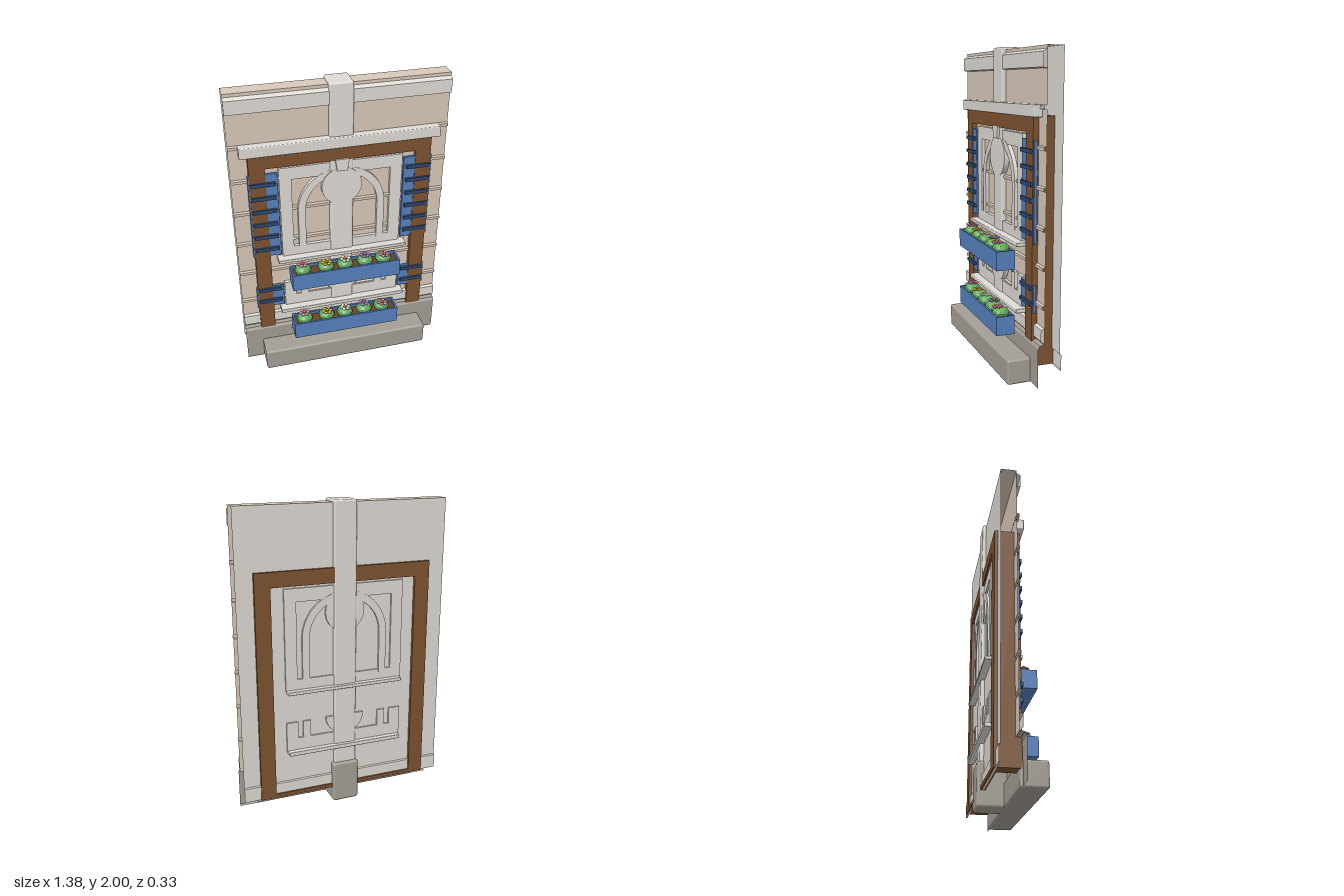
import * as THREE from 'three';
import { RoundedBoxGeometry } from 'three/addons/geometries/RoundedBoxGeometry.js';

const mat = (color, extra = {}) => new THREE.MeshStandardMaterial({ color, ...extra });
const M = {
  white: mat(0xdedad4), stone: mat(0xa39e95), wood: mat(0x7d5230),
  blue: mat(0x5580bd), slat: mat(0x2f4a73), soil: mat(0x6b4428),
  leaf: mat(0x5fa85a, { flatShading: true }), core: mat(0xc98a2c),
  siding: mat(0xd8c8b8, { side: THREE.DoubleSide }),
  sheet: mat(0xdedad4, { side: THREE.DoubleSide }),
  stoneSheet: mat(0xa39e95, { side: THREE.DoubleSide }),
};
const petalMats = [0xe58bb5, 0xe8c040, 0xf2efe8, 0x9a82dc, 0xe58bb5].map(c => mat(c));
const WALL = 0.69, FACE = -0.02;

export function createModel() {
  const root = new THREE.Group();

  const add = (name, geometry, material, parent = root) => {
    const mesh = new THREE.Mesh(geometry, material);
    mesh.name = name;
    parent.add(mesh);
    return mesh;
  };
  // Box given by its limits; a bevel rounds its edges
  const box = (name, material, [x0, x1], [y0, y1], [z0, z1], bevel = 0, parent = root) => {
    const s = [x1 - x0, y1 - y0, z1 - z0];
    const g = bevel ? new RoundedBoxGeometry(...s, 2, bevel) : new THREE.BoxGeometry(...s);
    g.translate((x0 + x1) / 2, (y0 + y1) / 2, (z0 + z1) / 2);
    return add(name, g, material, parent);
  };
  // Open-ended sheet: a (z, y) profile swept along x
  const sweep = (name, material, profile) => {
    const pos = [], idx = [];
    for (let i = 0; i < profile.length - 1; i++) {
      const [za, ya] = profile[i], [zb, yb] = profile[i + 1], n = i * 4;
      pos.push(-WALL, ya, za, -WALL, yb, zb, WALL, yb, zb, WALL, ya, za);
      idx.push(n, n + 1, n + 2, n, n + 2, n + 3);
    }
    const g = new THREE.BufferGeometry();
    g.setAttribute('position', new THREE.Float32BufferAttribute(pos, 3));
    g.setIndex(idx);
    g.computeVertexNormals();
    return add(name, g, material);
  };
  const extrude = (name, shape, material, z0, z1, parent = root) => {
    const g = new THREE.ExtrudeGeometry(shape, { depth: z1 - z0, bevelEnabled: false, curveSegments: 24 });
    return add(name, g.translate(0, 0, z0), material, parent);
  };

  // Wall siding with a small ledge at each board joint
  const front = [[-0.12, 1.985], [FACE, 1.985]];
  for (let i = 0; i < 7; i++) {
    const y = 1.655 - i * 0.23;
    if (y < 0.3) break;
    front.push([FACE, y + 0.005], [-0.004, y], [-0.004, y - 0.018], [FACE, y - 0.02]);
  }
  front.push([FACE, 0.27]);
  sweep('wallSiding', M.siding, front);
  sweep('wallBack', M.sheet, [[-0.12, 0.1], [-0.13, 0.1], [-0.13, 0.195], [-0.12, 0.2], [-0.12, 1.985]]);
  sweep('upperBand', M.sheet, [[FACE, 1.965], [0.004, 1.95], [0.004, 1.865], [FACE, 1.86]]);
  sweep('lowerBand', M.sheet, [[FACE, 0.37], [0.002, 0.365], [0.002, 0.295], [FACE, 0.27]]);
  sweep('baseFacing', M.stoneSheet, [[FACE, 0.275], [0.008, 0.268], [0.02, 0.25], [0.02, 0.01], [0.012, 0]]);

  // Stone step and column foot
  box('step', M.stone, [-0.575, 0.575], [0, 0.155], [0, 0.165], 0.015);
  box('columnFoot', M.stone, [-0.09, 0.09], [0, 0.28], [-0.163, 0.035], 0.018);

  // Central column, lintel, keystone
  box('column', M.white, [-0.075, 0.075], [0.02, 2], [-0.143, 0.011], 0.012);
  box('lintel', M.white, [-0.63, 0.63], [1.59, 1.66], [-0.02, 0.035], 0.006);
  const key = new THREE.Shape([[-0.033, 1.43], [0.033, 1.43], [0.045, 1.51], [-0.045, 1.51]].map(p => new THREE.Vector2(...p)));
  extrude('keystone', key, M.white, 0, 0.027);

  // Timber frame
  const timber = [-0.14, 0.015];
  box('frameTop', M.wood, [-0.58, 0.58], [1.5, 1.595], timber);
  box('frameBottom', M.wood, [-0.48, 0.48], [0.1, 0.125], [-0.14, -0.11]);
  for (const s of [-1, 1]) {
    const span = (a, b) => (s > 0 ? [a, b] : [-b, -a]);
    box('framePost', M.wood, span(0.48, 0.58), [0.1, 1.59], timber);
    // Shutters with slats
    for (const [y0, y1, first, count] of [[0.855, 1.46, 0.917, 6], [0.435, 0.605, 0.49, 2]]) {
      box('shutter', M.blue, span(0.405, 0.59), [y0, y1], [-0.01, 0.011], 0.004);
      for (let i = 0; i < count; i++) {
        const y = first + i * 0.0955;
        box('shutterSlat', M.slat, span(0.42, 0.575), [y - 0.012, y + 0.012], [0, 0.028]);
      }
    }
    // Window stiles and the lower legs of the tracery
    const depth = [-0.132, 0.003];
    box('upperStile', M.white, span(0.32, 0.397), [0.83, 1.485], depth);
    box('lowerStile', M.white, span(0.32, 0.397), [0.41, 0.61], depth);
    box('lowerLeg', M.white, span(0.235, 0.285), [0.41, 0.61], depth);
  }

  // Window rails, sills and tracery, showing on both faces
  const rail = [-0.32, 0.32];
  box('topRail', M.white, rail, [1.4, 1.485], [-0.132, 0.003]);
  box('middleRail', M.white, rail, [0.82, 0.9], [-0.132, 0.003]);
  box('lowerRail', M.white, rail, [0.41, 0.5], [-0.132, 0.003]);
  for (const [y0, y1] of [[0.808, 0.832], [0.39, 0.418]]) {
    box('frontSill', M.white, [-0.435, 0.435], [y0, y1], [-0.02, 0.055], 0.005);
    box('backSill', M.white, [-0.39, 0.39], [y0, y1], [-0.165, -0.1], 0.005);
  }
  const arch = new THREE.Shape();
  arch.moveTo(0.285, 0.88);
  arch.lineTo(0.285, 1.16);
  arch.absarc(0, 1.16, 0.285, 0, Math.PI, false);
  arch.lineTo(-0.285, 0.88);
  arch.lineTo(-0.237, 0.88);
  arch.lineTo(-0.237, 1.16);
  arch.absarc(0, 1.16, 0.237, Math.PI, 0, true);
  arch.lineTo(0.237, 0.88);
  extrude('arch', arch, M.white, -0.134, 0.005);
  const disc = new THREE.Shape().absarc(0, 1.315, 0.13, 0, Math.PI * 2);
  extrude('rosette', disc, M.white, -0.134, 0.0125);
  const half = new THREE.Shape().absarc(0, 0.615, 0.13, Math.PI, Math.PI * 2);
  extrude('lowerRosette', half, M.white, -0.134, 0.0125);

  // Planter boxes with five flowering shrubs each
  const bush = new THREE.IcosahedronGeometry(0.055, 1).scale(1, 0.7, 1);
  const petal = new THREE.SphereGeometry(0.013, 8, 6).scale(1, 0.5, 1);
  const core = new THREE.SphereGeometry(0.011, 8, 6).scale(1, 0.75, 1);
  const shrubs = [[-0.285, 0.085], [-0.13, 0.105], [0, 0.098], [0.138, 0.085], [0.265, 0.113]];
  for (const y of [0.65, 0.235]) {
    const planter = new THREE.Group();
    planter.name = 'planter';
    planter.position.y = y;
    root.add(planter);
    const high = [0, 0.12], X = 0.365;
    box('planterFloor', M.blue, [-X, X], [0, 0.02], [0.035, 0.155], 0, planter);
    for (const z of [0.035, 0.143]) box('planterSide', M.blue, [-X, X], high, [z, z + 0.012], 0, planter);
    for (const x of [-X, X - 0.012]) box('planterEnd', M.blue, [x, x + 0.012], high, [0.035, 0.155], 0, planter);
    box('soil', M.soil, [-X + 0.01, X - 0.01], [0.02, 0.1], [0.045, 0.145], 0, planter);
    for (const x of [-0.28, 0.28]) {
      const bracket = box('planterBracket', M.blue, [-0.008, 0.008], [-0.04, 0.02], [-0.008, 0.008], 0, planter);
      bracket.position.set(x, 0, 0.03);
      bracket.rotation.x = 0.5;
    }
    shrubs.forEach(([x, z], i) => {
      add('shrub', bush, M.leaf, planter).position.set(x, 0.118, 0.09);
      const flower = new THREE.Group();
      flower.name = 'flower';
      flower.position.set(x, 0.158, z);
      planter.add(flower);
      for (let k = 0; k < 6; k++) {
        const a = k * Math.PI / 3;
        add('petal', petal, petalMats[i], flower).position.set(0.025 * Math.cos(a), 0, 0.025 * Math.sin(a));
      }
      add('flowerCentre', core, M.core, flower).position.y = 0.005;
    });
  }
  return root;
}
